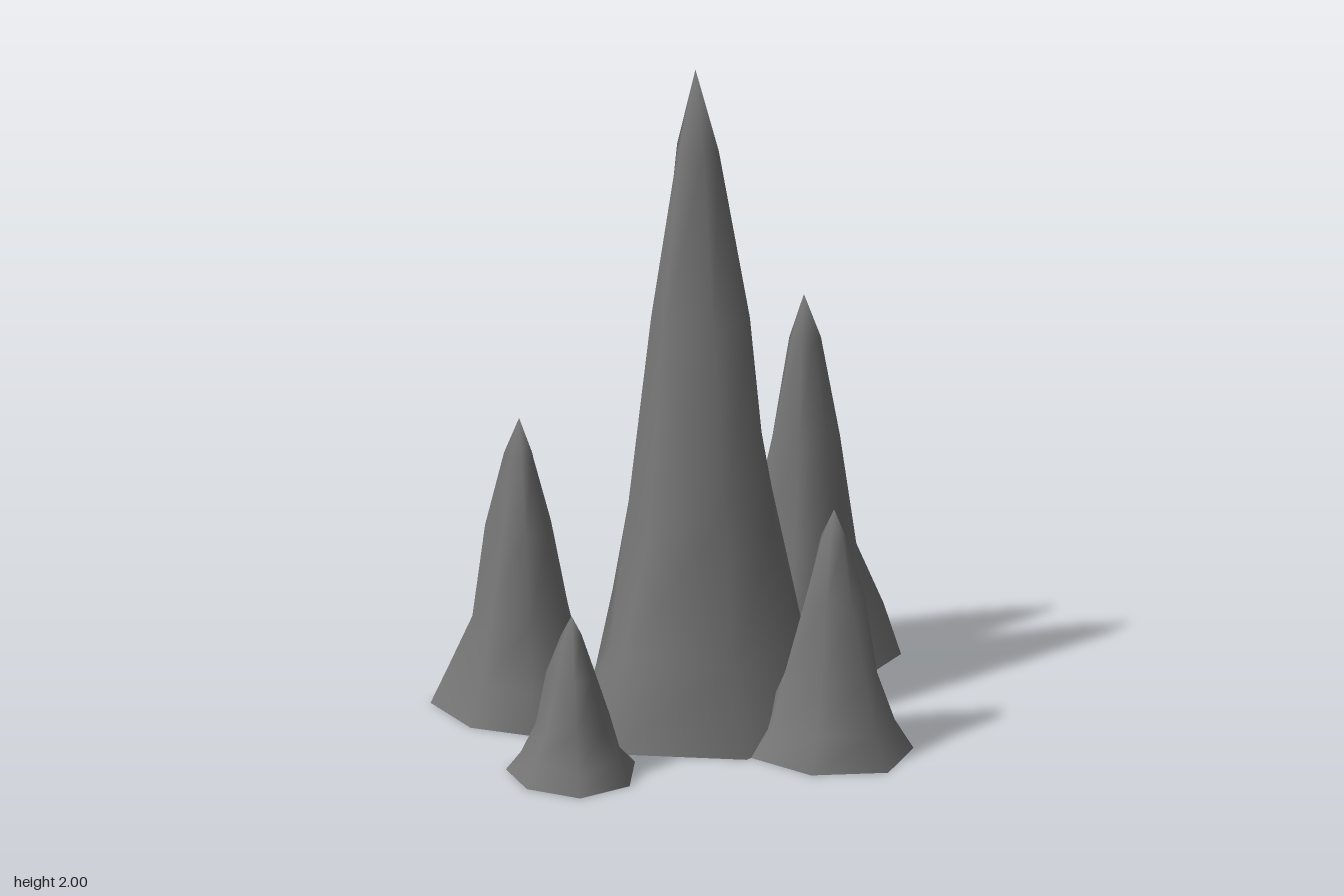
import * as THREE from 'three';

const stone = new THREE.MeshStandardMaterial({ color: 0x767676 });
stone.name = 'grey stone';

// Rings of a spire: [height fraction, radius fraction]
const PROFILE = [[0, 1], [0.13, 0.78], [0.33, 0.56], [0.62, 0.365], [0.88, 0.16]];

// name, apex [x, y, z], base outline [x, z] running from +x towards +z
const SPIRES = [
  ['mainSpire', [-0.04, 2, -0.08],
    [[-0.14, -0.56], [0.24, -0.41], [0.41, -0.05], [0.24, 0.28], [-0.13, 0.36], [-0.465, 0.105], [-0.365, -0.24]]],
  ['rightBackSpire', [0.495, 1.22, -0.31],
    [[0.315, -0.555], [0.575, -0.615], [0.77, -0.435], [0.785, -0.15], [0.55, -0.025], [0.3, -0.08], [0.2, -0.31]]],
  ['leftBackSpire', [-0.485, 0.93, -0.39],
    [[-0.53, -0.66], [-0.305, -0.58], [-0.22, -0.37], [-0.34, -0.16], [-0.58, -0.125], [-0.72, -0.295], [-0.735, -0.55]]],
  ['frontSpire', [0.14, 0.75, 0.41],
    [[0.24, 0.18], [0.375, 0.32], [0.35, 0.54], [0.175, 0.66], [-0.03, 0.56], [-0.11, 0.355], [0.02, 0.19]]],
  ['smallSpire', [-0.62, 0.49, 0.19],
    [[-0.775, 0.055], [-0.61, 0], [-0.47, 0.065], [-0.42, 0.2], [-0.525, 0.355], [-0.69, 0.36], [-0.79, 0.22]]],
];

function makeGeometry(positions, indices) {
  const geometry = new THREE.BufferGeometry();
  geometry.setAttribute('position', new THREE.Float32BufferAttribute(positions, 3));
  geometry.setIndex(indices);
  geometry.computeVertexNormals();
  return geometry;
}

function makeSpire(name, [ax, ay, az], base, seed) {
  const n = base.length;
  const positions = [];
  const indices = [];

  // Slightly irregular rings shrinking towards the apex
  PROFILE.forEach(([h, r], i) => {
    base.forEach(([x, z], j) => {
      const wobble = i ? Math.sin(seed * 5.3 + i * 2.1 + j * 2.7) : 0;
      const radius = r * (1 + 0.05 * wobble);
      const y = ay * (h + 0.018 * wobble * (i < 4 ? 1 : 0.3));
      positions.push(ax + (x - ax) * radius, y, az + (z - az) * radius);
    });
  });
  positions.push(ax, ay, az);

  const last = PROFILE.length - 1;
  const tip = PROFILE.length * n;
  for (let j = 0; j < n; j++) {
    const k = (j + 1) % n;
    for (let i = 0; i < last; i++) {
      const a = i * n + j, b = i * n + k;
      indices.push(a, a + n, b, b, a + n, b + n);
    }
    indices.push(last * n + j, tip, last * n + k);
  }

  // Flat underside
  const under = [ax, 0, az];
  const underIndices = [];
  base.forEach(([x, z], j) => {
    under.push(x, 0, z);
    underIndices.push(0, 1 + j, 1 + (j + 1) % n);
  });

  const spire = new THREE.Group();
  spire.name = name;
  const sides = new THREE.Mesh(makeGeometry(positions, indices), stone);
  sides.name = name + 'Sides';
  const bottom = new THREE.Mesh(makeGeometry(under, underIndices), stone);
  bottom.name = name + 'Underside';
  spire.add(sides, bottom);
  return spire;
}

export function createModel() {
  const group = new THREE.Group();
  group.name = 'stalagmites';
  SPIRES.forEach(([name, apex, base], i) => group.add(makeSpire(name, apex, base, i + 1)));
  return group;
}
